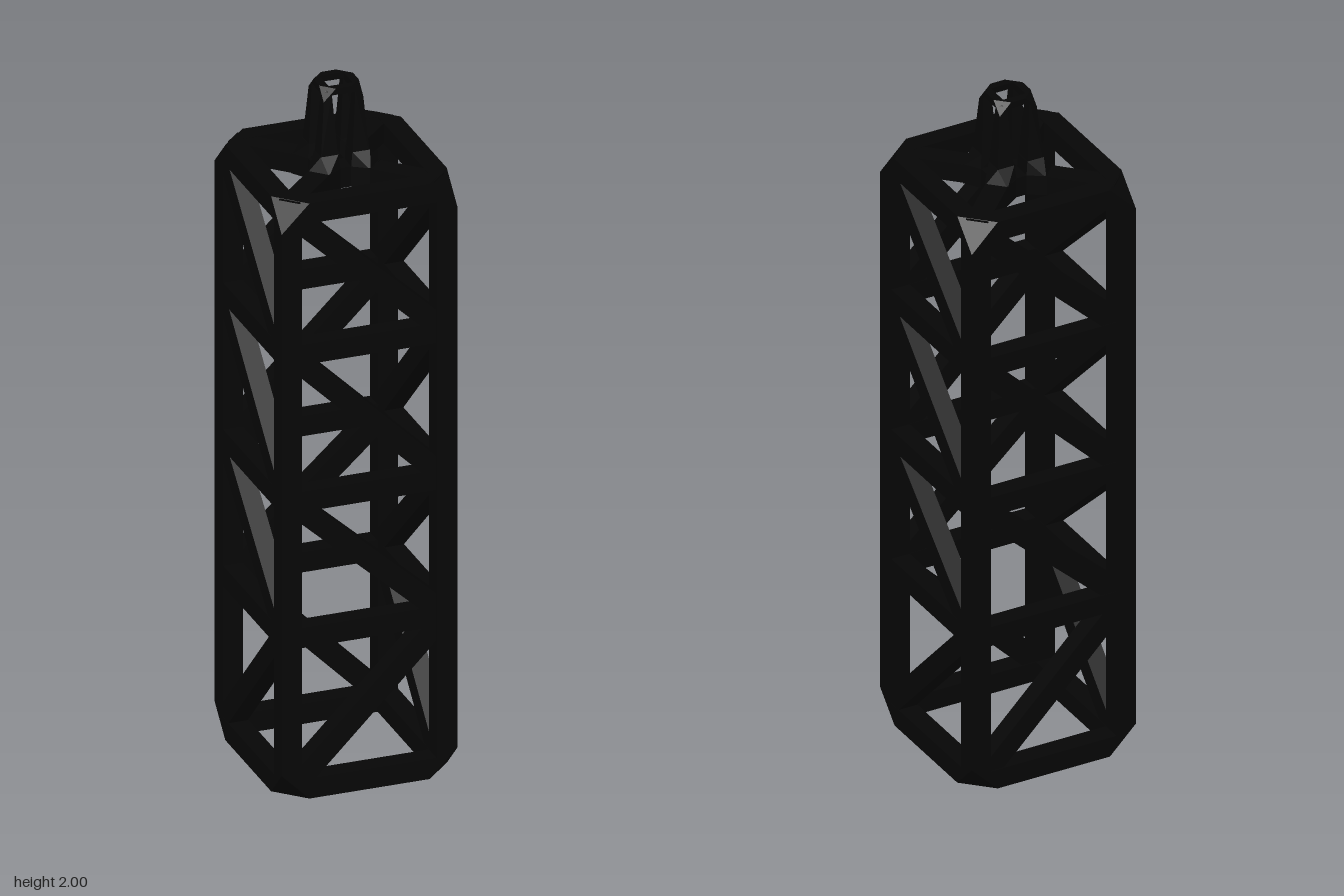
import * as THREE from 'three';
import { ConvexGeometry } from 'three/addons/geometries/ConvexGeometry.js';

const HALF = 0.253, TOP = 1.77, W = 0.059, CUT = 0.08;
const NODE = HALF - W / 2;

export function createModel() {
  const model = new THREE.Group();
  const mat = new THREE.MeshStandardMaterial({ color: 0x060606 });
  mat.name = 'black';

  function add(name, geometry, parent = model) {
    const mesh = new THREE.Mesh(geometry, mat);
    mesh.name = name;
    parent.add(mesh);
    return mesh;
  }
  const hull = pts => new ConvexGeometry(pts.map(p => new THREE.Vector3(...p)));

  // Bar along one edge of a box (half sizes h, middle height cy), with its ends
  // trimmed by the bevel that cuts off each box corner.
  function edgeBar(axis, s1, s2, h, w, cy, cut) {
    const a = (axis + 1) % 3, b = (axis + 2) % 3, pts = [];
    for (const e of [-1, 1]) for (const i of [0, 1]) for (const j of [0, 1]) {
      const p = [0, 0, 0];
      p[axis] = e * (h[axis] - Math.max(0, cut - i * w[a] - j * w[b]));
      p[a] = s1 * (h[a] - i * w[a]);
      p[b] = s2 * (h[b] - j * w[b]);
      p[1] += cy;
      pts.push(p);
    }
    return hull(pts);
  }

  // Outer frame: four posts, and the rails at top and bottom
  const names = ['sideToSideRail', 'cornerPost', 'frontToBackRail'];
  for (let axis = 0; axis < 3; axis++)
    for (const s1 of [-1, 1]) for (const s2 of [-1, 1])
      add(names[axis], edgeBar(axis, s1, s2, [HALF, TOP / 2, HALF], [W, W, W], TOP / 2, CUT));

  // Four lattice sides with crossbars and one brace per bay;
  // the lowest brace rises to the right, the others fall to the right
  const levels = [0.03, 0.48, 0.885, 1.322, 1.74];
  for (let k = 0; k < 4; k++) {
    const side = new THREE.Group();
    side.name = 'latticeSide';
    side.rotation.y = k * Math.PI / 2;
    model.add(side);
    for (let i = 0; i < 4; i++) {
      const y0 = levels[i], y1 = levels[i + 1];
      if (i > 0)
        add('crossbar', new THREE.BoxGeometry(2 * NODE, W, W - 0.002), side).position.set(0, y0, NODE);
      const length = Math.hypot(2 * NODE, y1 - y0) - 0.07;
      const brace = add('diagonalBrace', new THREE.BoxGeometry(length, 0.06, W - 0.004), side);
      brace.position.set(0, (y0 + y1) / 2, NODE);
      brace.rotation.z = (i === 0 ? 1 : -1) * Math.atan2(y1 - y0, 2 * NODE);
    }
  }

  // Roof struts from the corners to the hub
  for (let k = 0; k < 4; k++) {
    const arm = new THREE.Group();
    arm.name = 'roofArm';
    arm.rotation.y = Math.PI / 4 + k * Math.PI / 2;
    model.add(arm);
    add('roofStrut', new THREE.BoxGeometry(0.2, W - 0.002, 0.062), arm).position.set(0.205, TOP - W / 2, 0);
  }

  // Hub plate with a square hole
  const quarter = [[0.075, 0.015], [0.105, 0.06], [0.06, 0.105], [0.015, 0.075]];
  const outline = [];
  for (let k = 0; k < 4; k++)
    for (const [x, y] of quarter)
      outline.push(new THREE.Vector2(x, y).rotateAround(new THREE.Vector2(), k * Math.PI / 2));
  const shape = new THREE.Shape(outline);
  const r = 0.016;
  shape.holes.push(new THREE.Path([[-r, -r], [-r, r], [r, r], [r, -r]].map(p => new THREE.Vector2(...p))));
  const hub = add('roofHub', new THREE.ExtrudeGeometry(shape, { depth: W, bevelEnabled: false }));
  hub.rotation.x = -Math.PI / 2;
  hub.position.y = TOP - W;

  // Lifting loop: four tapered legs on flared feet
  for (const sx of [-1, 1]) for (const sz of [-1, 1]) {
    const foot = [], leg = [];
    for (const [x, z] of [...quarter, [0.018, 0.018]]) foot.push([sx * x, TOP - 0.005, sz * z]);
    for (const i of [0, 1]) for (const j of [0, 1]) {
      const x = sx * (i ? 0.02 : 0.071), z = sz * (j ? 0.02 : 0.071);
      foot.push([x, 1.81, z]);
      leg.push([x, 1.79, z]);
      leg.push([sx * (i ? 0.034 : 0.057), 2 - Math.max(0, 0.035 - 0.023 * (i + j)), sz * (j ? 0.034 : 0.057)]);
    }
    add('loopFoot', hull(foot));
    add('loopLeg', hull(leg));
  }

  // Square ring closing the top of the loop
  for (const s of [-1, 1]) {
    const h = [0.057, 0.05, 0.057], w = [0.023, 0.018, 0.023];
    add('loopRing', edgeBar(0, 1, s, h, w, 1.95, 0.035));
    add('loopRing', edgeBar(2, s, 1, h, w, 1.95, 0.035));
  }
  return model;
}
